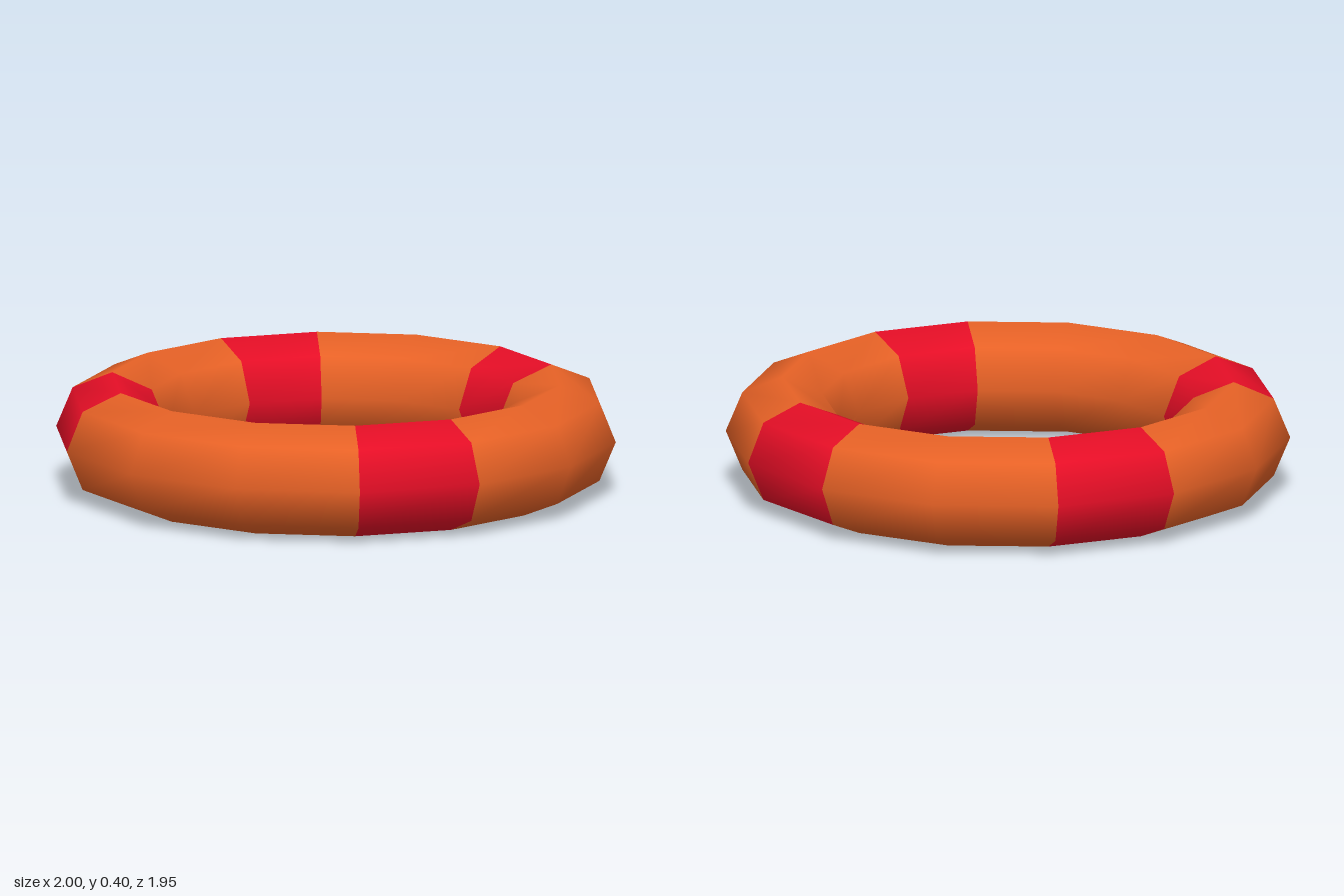
import * as THREE from 'three';

const RING = 0.8, TUBE = 0.2, SIDES = 14, TUBE_SIDES = 8;
const STEP = (Math.PI * 2) / SIDES;

export function createModel() {
  const group = new THREE.Group();
  group.name = 'lifeRing';

  const orange = new THREE.MeshStandardMaterial({ color: 0xe86226 });
  orange.name = 'orange';
  const red = new THREE.MeshStandardMaterial({ color: 0xe60e26 });
  red.name = 'red';

  // An arc of the ring, counted in segments from +x towards +z
  function addArc(name, start, count, material) {
    const geometry = new THREE.TorusGeometry(RING, TUBE, TUBE_SIDES, count, count * STEP);
    geometry.rotateX(Math.PI / 2).rotateY(-start * STEP).translate(0, TUBE, 0);
    const mesh = new THREE.Mesh(geometry, material);
    mesh.name = name;
    group.add(mesh);
  }

  // Red bands one segment wide, with orange float sections between them
  const bands = [0, 4, 8, 11];
  bands.forEach((start, i) => {
    const next = i + 1 < bands.length ? bands[i + 1] : SIDES;
    addArc(`redBand${i + 1}`, start, 1, red);
    addArc(`floatSection${i + 1}`, start + 1, next - start - 1, orange);
  });

  return group;
}
